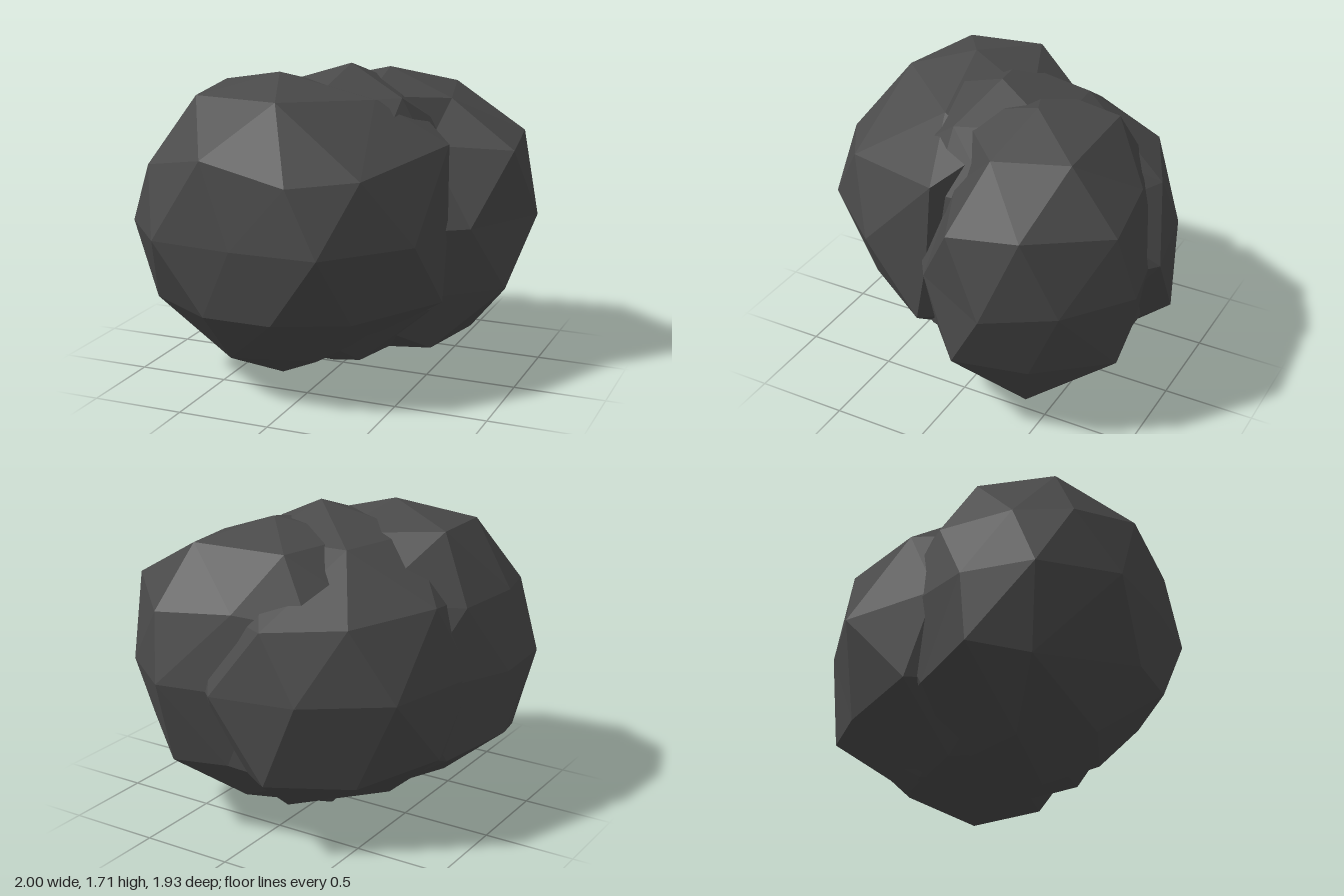
import * as THREE from 'three';

const V = (p) => new THREE.Vector3(...p);

// Low-poly ball with a pole on top; each nudge drags the nearest corner to a new place.
function lobe(name, material, center, radius, turn, nudges) {
  const geo = new THREE.IcosahedronGeometry(1, 1);
  geo.rotateZ(-Math.atan(2 / (1 + Math.sqrt(5))));
  geo.rotateY(-turn);
  geo.scale(radius, radius, radius);
  geo.translate(...center);

  const pos = geo.attributes.position;
  const base = [];
  for (let i = 0; i < pos.count; i++) base.push(new THREE.Vector3().fromBufferAttribute(pos, i));
  for (const n of nudges) {
    const target = V(n);
    let corner = base[0];
    for (const b of base) if (b.distanceTo(target) < corner.distanceTo(target)) corner = b;
    base.forEach((b, i) => {
      if (b.distanceTo(corner) < 1e-3) pos.setXYZ(i, ...n);
    });
  }
  geo.computeVertexNormals();
  const mesh = new THREE.Mesh(geo, material);
  mesh.name = name;
  return mesh;
}

export function createModel() {
  const group = new THREE.Group();
  group.name = 'lumpyBoulder';
  const stone = new THREE.MeshStandardMaterial({ color: 0x4a4a4a });
  stone.name = 'charcoal';
  stone.flatShading = true;

  // Front lobe, leaning to the model's right
  group.add(lobe('frontLobe', stone, [-0.23, 0.86, 0.31], 0.83, 0, [
    [-0.23, 1.69, 0.31], [-0.23, 0.02, 0.31],
    // crown
    [-0.64, 1.6, 0.12], [-0.6, 1.58, 0.55], [-0.1, 1.59, 0.65], [0.27, 1.56, 0.22],
    // upper band
    [-0.8, 1.23, 0.72], [-0.84, 1.25, 0], [-0.88, 1.25, 0.42], [-0.4, 1.32, 0.91],
    [0.07, 1.22, 0.92], [0.39, 1.24, 0.72], [0.64, 1.33, 0.1], [0.38, 1.48, -0.1],
    // waist
    [0.65, 0.88, 0.13], [0.61, 0.88, 0.53], [0.25, 0.88, 0.95], [-0.22, 0.88, 0.96],
    [-0.68, 0.88, 0.92], [-0.98, 0.88, 0.58], [-1, 0.88, 0.19],
    // lower band
    [-0.98, 0.52, 0.21], [-0.4, 0.5, 0.91], [-0.02, 0.5, 0.91], [0.32, 0.47, 0.66],
    [0.65, 0.5, 0.2], [-0.88, 0.44, 0.52],
    // underside
    [-0.57, 0.17, 0.31], [-0.37, 0.2, 0.66], [0.06, 0.19, 0.52],
  ]));

  // Middle lobe, bulging out at the back on the model's right
  group.add(lobe('middleLobe', stone, [-0.04, 0.86, 0], 0.82, 0.25, [
    [0.05, 1.71, 0], [-0.07, 0, -0.02],
    // back bulge
    [0.11, 0.88, -0.96], [-0.35, 0.88, -0.87], [-0.76, 0.88, -0.57], [-0.88, 0.88, 0],
    [-0.13, 1.23, -0.85], [-0.53, 1.26, -0.66], [-0.77, 1.29, -0.2],
    [-0.19, 0.44, -0.92], [-0.56, 0.4, -0.62], [-0.81, 0.47, -0.2], [-0.07, 0.15, -0.52],
    // side tucked into the seam
    [0.56, 1.25, 0.12], [0.38, 1.28, 0.5], [0.55, 0.88, 0.38], [0.62, 0.88, 0],
    [0.56, 0.43, 0.15], [0.38, 0.5, 0.5],
  ]));

  // Rear lobe, leaning to the model's left
  group.add(lobe('rearLobe', stone, [0.17, 0.86, -0.27], 0.83, 0.23, [
    [0.17, 1.66, -0.27], [0.17, 0.03, -0.27],
    // crown
    [0.55, 1.52, -0.2], [0.45, 1.55, -0.6],
    // upper band
    [0.92, 1.27, -0.15], [0.87, 1.31, -0.53], [0.5, 1.24, -0.88], [0.06, 1.28, -0.82],
    [-0.32, 1.23, -0.68], [0.5, 1.3, 0.03],
    // waist
    [1, 0.88, -0.37], [0.79, 0.88, -0.71], [0.44, 0.88, -0.97], [-0.1, 0.88, -0.86],
    [-0.5, 0.88, -0.6], [0.76, 0.88, 0.08], [0.35, 0.88, 0.36],
    // lower band
    [0.89, 0.5, -0.15], [0.8, 0.5, -0.55], [0.42, 0.43, -0.87], [0.1, 0.45, -0.82],
    [0.62, 0.5, 0.1],
    // underside
    [0.61, 0.16, -0.44], [0.52, 0.16, 0], [0.13, 0.2, -0.62],
  ]));

  return group;
}
